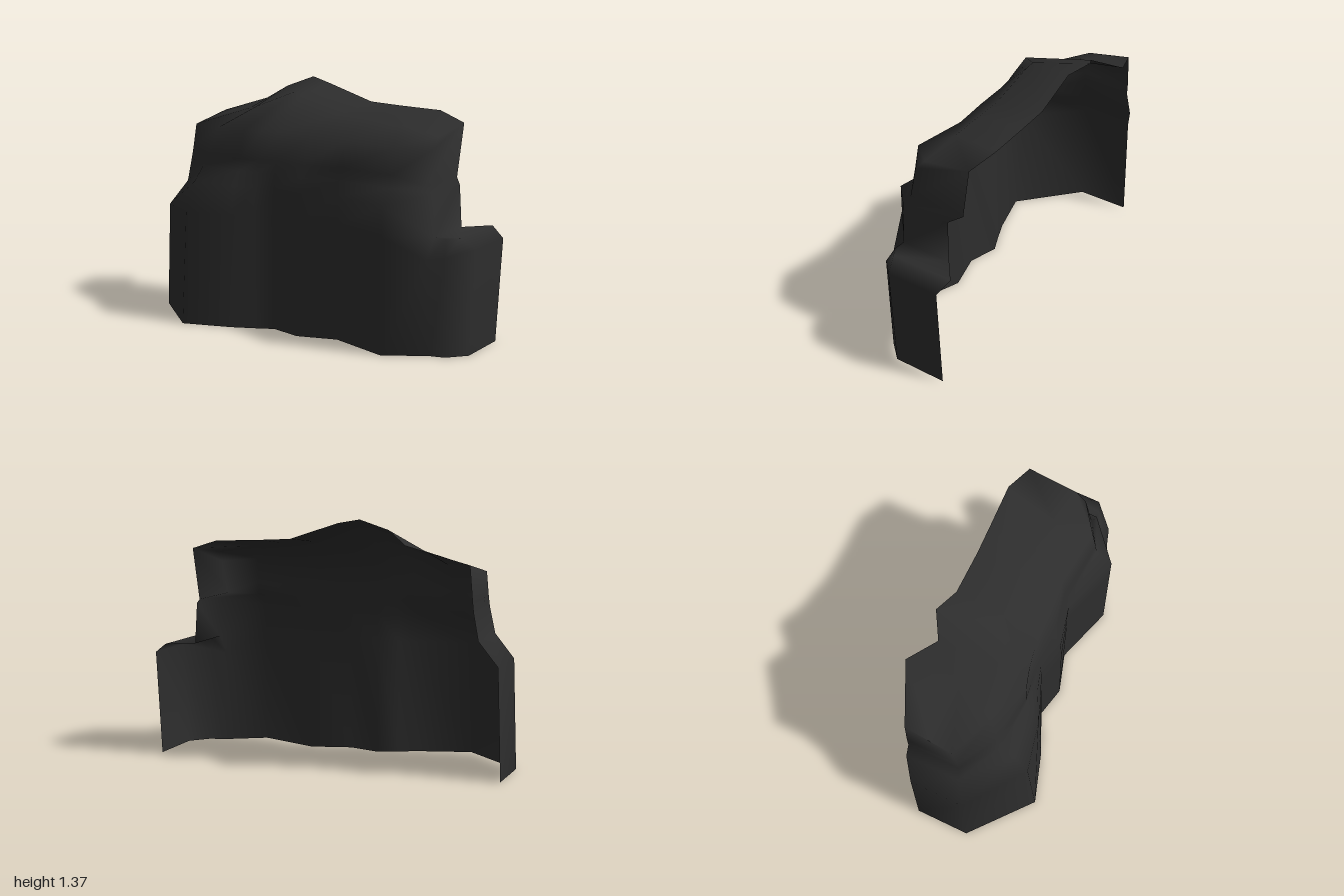
import * as THREE from 'three';
import { mergeVertices } from 'three/addons/utils/BufferGeometryUtils.js';

const lerp = THREE.MathUtils.lerp;

// Section through the main face: a wall leaning back from its foot to a
// shoulder, then a brow, the crest and the open rear edge.
// "give" is how far the wall has leaned back just below the shoulder.
function faceSection(x, foot, shoulder, give, brow, crest, rear) {
  return [
    [x, 0, foot],
    [x, 0.64, lerp(foot, shoulder, give * 0.4)],
    [x, 0.8, lerp(foot, shoulder, give)],
    [x, 0.88, shoulder],
    [lerp(x, brow[0], 0.3), 0.95, lerp(shoulder, brow[2], 0.3)],
    brow,
    crest,
    rear,
  ];
}

// Stepped side wall, given as rows of x, y, front z, rear z.
// Returns its front corner and its rear edge, both ending in the top rear corner.
function sideWall(steps, brow, crest, top) {
  return {
    front: [...steps.map(([x, y, z]) => [x, y, z]), brow, crest, top],
    rear: [...steps.map(([x, y, , z]) => [x, y, z]), top, top, top],
  };
}

// Joins neighbouring sections with triangles, leaving out collapsed ones.
function skin(sections, out) {
  const tri = (...corners) => {
    if (new Set(corners.map(String)).size === 3) out.push(...corners.flat());
  };
  for (let i = 0; i < sections.length - 1; i++) {
    const left = sections[i], right = sections[i + 1];
    for (let j = 0; j < left.length - 1; j++) {
      tri(left[j], right[j], right[j + 1]);
      tri(left[j], right[j + 1], left[j + 1]);
    }
  }
}

export function createModel() {
  const group = new THREE.Group();
  group.name = 'cliff';

  const darkRock = new THREE.MeshStandardMaterial({ color: 0x2d2d2d, side: THREE.DoubleSide });
  darkRock.name = 'darkRock';

  const leftWall = sideWall(
    [
      [-1, 0, 0.12, -0.19], [-0.98, 0.61, 0.11, -0.2], [-0.89, 0.75, 0.05, -0.26],
      [-0.86, 0.89, 0.045, -0.25], [-0.855, 0.95, 0.035, -0.255],
    ],
    [-0.85, 1.085, 0.01], [-0.845, 1.11, -0.12], [-0.84, 1.14, -0.26],
  );
  // The right wall starts at the shelf
  const rightWall = sideWall(
    [[0.79, 0.63, 0.09, -0.21], [0.78, 0.86, 0.09, -0.2], [0.73, 0.89, 0.08, -0.26]],
    [0.74, 1.08, 0.03], [0.74, 1.14, -0.03], [0.74, 1.18, -0.31],
  );
  const shelfFoot = [0.8, 0, 0.14];
  const shelfRim = [0.79, 0.52, 0.17];
  const ledgeFront = rightWall.front[0];
  const ledgeRear = rightWall.rear[0];

  // Main face, left to right
  const face = [
    leftWall.rear,
    leftWall.front,
    faceSection(-0.66, 0.4, 0.19, 0.6, [-0.6, 1.1, 0.11], [-0.54, 1.19, -0.1], [-0.54, 1.24, -0.4]),
    faceSection(-0.39, 0.31, 0.21, 0.6, [-0.36, 1.11, 0.2], [-0.34, 1.235, 0.11], [-0.4, 1.31, -0.28]),
    faceSection(-0.27, 0.255, 0.2, 0.6, [-0.26, 1.11, 0.17], [-0.19, 1.31, -0.04], [-0.27, 1.365, -0.355]),
    faceSection(-0.16, 0.2, 0.19, 0.5, [-0.16, 1.11, 0.15], [-0.13, 1.3, -0.04], [-0.13, 1.34, -0.31]),
    faceSection(0.02, 0.24, 0.2, 0.4, [0.04, 1.1, 0.14], [0.137, 1.215, -0.04], [0.14, 1.25, -0.33]),
    faceSection(0.24, 0.17, 0.15, 0, [0.25, 1.09, 0.12], [0.3, 1.2, -0.04], [0.32, 1.24, -0.34]),
    faceSection(0.58, 0.275, 0.18, 0, [0.57, 1.09, 0.15], [0.5, 1.18, -0.04], [0.57, 1.23, -0.355]),
    [shelfFoot, shelfRim, ...rightWall.front],
  ];

  // Low shelf at the right end: foot, rim, chamfered top edge, inner edge
  const shelf = [
    [shelfFoot, shelfRim, ledgeFront, ledgeFront],
    [[0.88, 0, 0.12], [0.88, 0.54, 0.14], [0.86, 0.63, 0.09], ledgeFront],
    [[0.97, 0, 0.02], [1, 0.58, 0.02], [0.92, 0.635, 0.05], ledgeFront],
    [[0.97, 0, -0.29], [1, 0.58, -0.29], [0.92, 0.635, -0.32], ledgeRear],
  ];

  // One smooth shell, open at the rear and underneath
  const positions = [];
  skin(face, positions);
  skin([rightWall.front, rightWall.rear], positions);
  skin(shelf, positions);
  let geometry = new THREE.BufferGeometry();
  geometry.setAttribute('position', new THREE.Float32BufferAttribute(positions, 3));
  geometry = mergeVertices(geometry);
  geometry.computeVertexNormals();

  const rockFace = new THREE.Mesh(geometry, darkRock);
  rockFace.name = 'rockFace';
  group.add(rockFace);
  return group;
}
